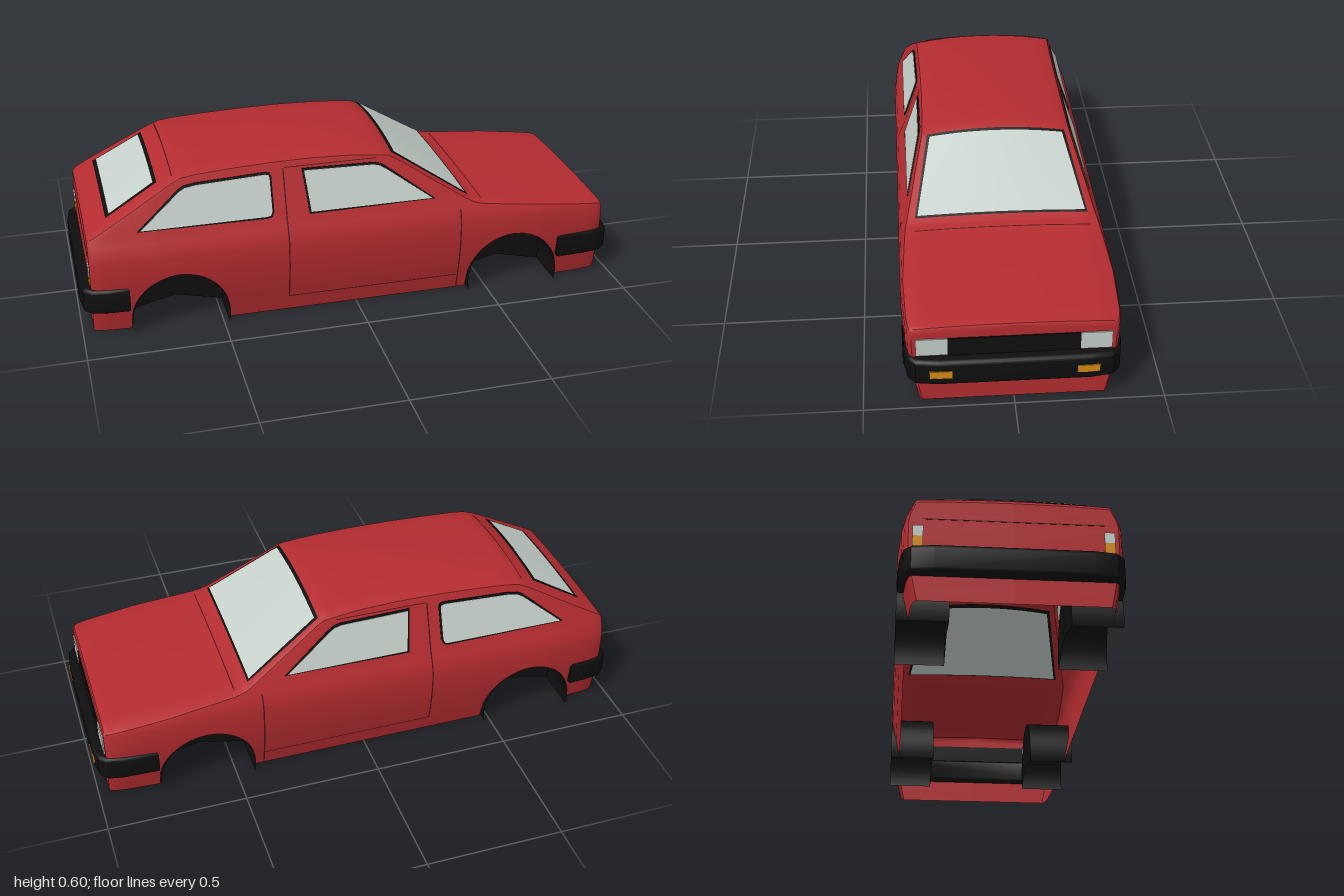
import * as THREE from 'three';
import { toCreasedNormals } from 'three/addons/utils/BufferGeometryUtils.js';

const mat = (name, color) =>
  new THREE.MeshStandardMaterial({ name, color, side: THREE.DoubleSide });

// Piecewise linear lookup through [x, value] points
function lerpTable(points, x) {
  if (x <= points[0][0]) return points[0][1];
  for (let i = 1; i < points.length; i++) {
    const [x0, v0] = points[i - 1], [x1, v1] = points[i];
    if (x <= x1) return v0 + (v1 - v0) * (x - x0) / (x1 - x0);
  }
  return points[points.length - 1][1];
}

// Centre line height, crown drop, half width by height, and taper at the ends
const PROFILE = [[-0.96, 0.36], [-0.95, 0.374], [-0.66, 0.55], [-0.62, 0.569], [-0.57, 0.577], [-0.45, 0.586],
  [-0.3, 0.594], [-0.15, 0.595], [0, 0.59], [0.1, 0.58], [0.135, 0.573], [0.16, 0.558], [0.42, 0.378],
  [0.45, 0.363], [0.49, 0.354], [0.7, 0.331], [0.94, 0.301], [0.955, 0.297], [0.96, 0.288]];
const CROWN = [[-0.96, 0.008], [-0.62, 0.024], [-0.3, 0.028], [0.1, 0.027], [0.16, 0.022], [0.42, 0.008], [0.96, 0.008]];
const WIDTH = [[0, 0.332], [0.05, 0.343], [0.1, 0.353], [0.15, 0.361], [0.2, 0.366], [0.28, 0.366], [0.31, 0.359],
  [0.34, 0.345], [0.37, 0.331], [0.57, 0.261]];
const TAPER = [[0, 1], [0.72, 1], [0.9, 0.97], [0.94, 0.95], [0.953, 0.935], [0.96, 0.915]];
const ARCH_R = 0.175, ARCH_Y = 0.04, ARCHES = [-0.65, 0.602];

const height = x => lerpTable(PROFILE, x);
const crown = x => lerpTable(CROWN, x);
const sideZ = (x, y) => lerpTable(WIDTH, y) * lerpTable(TAPER, Math.abs(x));
const edgeY = x => height(x) - crown(x) - 0.012;
const topHalf = x => sideZ(x, edgeY(x)) - 0.012;
const topY = (x, z) => height(x) - crown(x) * (z / topHalf(x)) ** 2;

function bottomY(x) {
  for (const c of ARCHES) {
    const d = Math.abs(x - c);
    if (d <= ARCH_R + 1e-6) return ARCH_Y + Math.sqrt(Math.max(0, ARCH_R ** 2 - d * d));
  }
  return 0;
}

// Open-bottomed cross-section at x, from one sill over the roof to the other
function section(x) {
  const yb = bottomY(x), ye = edgeY(x), half = [];
  for (const [y] of WIDTH) {
    const yy = Math.min(Math.max(y, yb), ye);
    half.push([yy, sideZ(x, yy)]);
  }
  half.push([ye + 0.008, sideZ(x, ye) - 0.004]);
  for (const k of [1, 0.8, 0.6, 0.4, 0.2]) half.push([topY(x, k * topHalf(x)), k * topHalf(x)]);
  const other = half.map(([y, z]) => [y, -z]).reverse();
  return [...half, [height(x), 0], ...other].map(([y, z]) => [x, y, z]);
}

function bodyGeometry() {
  const xs = [...PROFILE, ...CROWN].map(p => p[0]);
  for (const [t] of TAPER) xs.push(t, -t);
  for (const c of ARCHES) {
    for (let i = 0; i <= 16; i++) xs.push(c + ARCH_R * Math.cos(Math.PI * i / 16));
    xs.push(c - ARCH_R - 0.0005, c + ARCH_R + 0.0005);
  }
  xs.sort((a, b) => a - b);
  const stations = xs.filter((x, i) => i === 0 || x - xs[i - 1] > 1e-5);
  const rings = stations.map(section);
  // Flat nose and tail
  const flat = ring => ring.map(([x, y]) => [x, y, 0]);
  rings.unshift(flat(rings[0]));
  rings.push(flat(rings[rings.length - 1]));
  const n = rings[0].length, index = [];
  for (let i = 0; i < rings.length - 1; i++) {
    for (let j = 0; j < n - 1; j++) {
      const a = i * n + j, b = a + n;
      index.push(a, b, b + 1, a, b + 1, a + 1);
    }
  }
  const geo = new THREE.BufferGeometry();
  geo.setAttribute('position', new THREE.Float32BufferAttribute(rings.flat(2), 3));
  geo.setIndex(index);
  return toCreasedNormals(geo, 0.55);
}

// Patch on the roof, bonnet or screens: x0 with half width z0 to x1 with z1
function topPatch(x0, z0, x1, z1, offset) {
  const geo = new THREE.PlaneGeometry(1, 2, 12, 20), p = geo.attributes.position;
  for (let i = 0; i < p.count; i++) {
    const t = p.getX(i) + 0.5, x = x0 + (x1 - x0) * t;
    const z = -p.getY(i) * (z0 + (z1 - z0) * t);
    p.setXYZ(i, x, topY(x, z) + offset, z);
  }
  geo.computeVertexNormals();
  return geo;
}

// Thin strip following the body side
function sideStrip(x, y, w, h) {
  const geo = new THREE.PlaneGeometry(w, h, w > h ? 8 : 1, h > w ? 40 : 1).translate(x, y, 0);
  const p = geo.attributes.position;
  for (let i = 0; i < p.count; i++) p.setZ(i, sideZ(p.getX(i), p.getY(i)) + 0.002);
  geo.computeVertexNormals();
  return geo;
}

// Window plate leaning with the side of the cabin
function sidePlate(points, thickness, grow) {
  const shape = new THREE.Shape(points.map(p => new THREE.Vector2(...p)));
  const geo = new THREE.ExtrudeGeometry(shape, { depth: thickness, bevelEnabled: grow > 0,
    bevelThickness: 0.0005, bevelSize: grow, bevelSegments: 1 });
  const p = geo.attributes.position;
  for (let i = 0; i < p.count; i++) p.setZ(i, p.getZ(i) - thickness / 2 + lerpTable(WIDTH, p.getY(i)));
  geo.computeVertexNormals();
  return geo;
}

// U-shaped bumper wrapping the nose; inner end at x = end
function bumperGeometry(end) {
  const outer = [[end + 0.012, 0.35], [0.9, 0.347], [0.955, 0.337], [0.975, 0.318], [0.985, 0.25]];
  const inner = [[0.95, 0.28], [0.93, 0.32], [0.9, 0.335], [end + 0.012, 0.34]];
  const flip = list => list.map(([x, z]) => [x, -z]).reverse();
  const pts = [...outer, ...flip(outer), ...flip(inner), ...inner];
  const geo = new THREE.ExtrudeGeometry(new THREE.Shape(pts.map(p => new THREE.Vector2(...p))),
    { depth: 0.065, bevelThickness: 0.015, bevelSize: 0.014, bevelSegments: 3 });
  return toCreasedNormals(geo.rotateX(-Math.PI / 2).translate(0, 0.102, 0), 0.6);
}

export function createModel() {
  const red = mat('bodyRed', 0xb42c30), black = mat('trimBlack', 0x0e0e0e), glass = mat('glassGrey', 0xc6d0cb);
  const amber = mat('lampAmber', 0xd58c14), seam = mat('seamDarkRed', 0x4c1416);
  const car = new THREE.Group();
  car.name = 'car';
  const add = (name, geo, material, mirrorZ = false, mirrorX = false) => {
    const mesh = new THREE.Mesh(geo, material);
    mesh.name = name;
    mesh.scale.set(mirrorX ? -1 : 1, 1, mirrorZ ? -1 : 1);
    car.add(mesh);
  };
  const box = (name, material, x, y0, y1, z0, z1) => add(name,
    new THREE.BoxGeometry(0.009, y1 - y0, z1 - z0).translate(x, (y0 + y1) / 2, (z0 + z1) / 2), material);

  add('bodyShell', bodyGeometry(), red);

  // Side parts, mirrored
  const sideWindows = {
    rearSideWindow: [[-0.775, 0.384], [-0.63, 0.499], [-0.61, 0.51], [-0.57, 0.516], [-0.32, 0.526], [-0.309, 0.523],
      [-0.306, 0.515], [-0.306, 0.4], [-0.312, 0.387], [-0.325, 0.384]],
    frontSideWindow: [[-0.165, 0.384], [0.288, 0.384], [0.12, 0.503], [0.1, 0.515], [0.075, 0.521], [-0.18, 0.526]],
  };
  const seams = [[-0.255, 0.3, 0.005, 0.48], [0.065, 0.062, 0.64, 0.004], [0.39, 0.17, 0.005, 0.33],
    [-0.08, 0.542, 0.34, 0.003]];
  const arc0 = -Math.asin(ARCH_Y / ARCH_R), arcLen = Math.PI - 2 * arc0;
  for (const m of [false, true]) {
    for (const [name, pts] of Object.entries(sideWindows)) {
      add(name + 'Frame', sidePlate(pts, 0.006, 0.007), black, m);
      add(name, sidePlate(pts, 0.0095, 0), glass, m);
    }
    for (const s of seams) add('doorSeam', sideStrip(...s), seam, m);
    for (const c of ARCHES) {
      add('wheelArch', new THREE.CylinderGeometry(ARCH_R, ARCH_R, 0.17, 28, 1, true, arc0 + Math.PI / 2, arcLen)
        .rotateX(Math.PI / 2).translate(c, ARCH_Y, 0.281), black, m);
      add('wheelArchWall', new THREE.CircleGeometry(ARCH_R, 28, arc0, arcLen).translate(c, ARCH_Y, 0.196), black, m);
    }
  }

  // Windscreen and rear window, outside and inside faces
  for (const s of [1, -1]) {
    add('windscreenFrame', topPatch(0.15, 0.25, 0.43, 0.306, 0.004 * s), black);
    add('windscreen', topPatch(0.162, 0.241, 0.424, 0.297, 0.007 * s), glass);
    add('rearWindowFrame', topPatch(-0.885, 0.248, -0.698, 0.228, 0.004 * s), black);
    add('rearWindow', topPatch(-0.873, 0.238, -0.71, 0.218, 0.007 * s), glass);
  }
  add('bonnetSeam', topPatch(0.48, 0.31, 0.484, 0.31, 0.002), seam);
  add('hatchSeam', topPatch(-0.647, 0.24, -0.643, 0.24, 0.002), seam);

  // Bumpers
  add('frontBumper', bumperGeometry(0.78), black);
  add('rearBumper', bumperGeometry(0.83), black, false, true);

  // Nose and tail details
  box('grille', black, 0.96, 0.185, 0.252, -0.218, 0.218);
  for (const s of [1, -1]) {
    const span = (a, b) => (s > 0 ? [a, b] : [-b, -a]);
    box('headlight', glass, 0.96, 0.187, 0.252, ...span(0.218, 0.322));
    box('turnSignal', amber, 0.997, 0.119, 0.147, ...span(0.205, 0.28));
    box('reverseLamp', glass, -0.96, 0.228, 0.265, ...span(0.288, 0.322));
    box('rearTurnSignal', amber, -0.96, 0.19, 0.228, ...span(0.288, 0.322));
  }
  box('tailgateSeam', seam, -0.957, 0.29, 0.293, -0.29, 0.29);
  return car;
}
